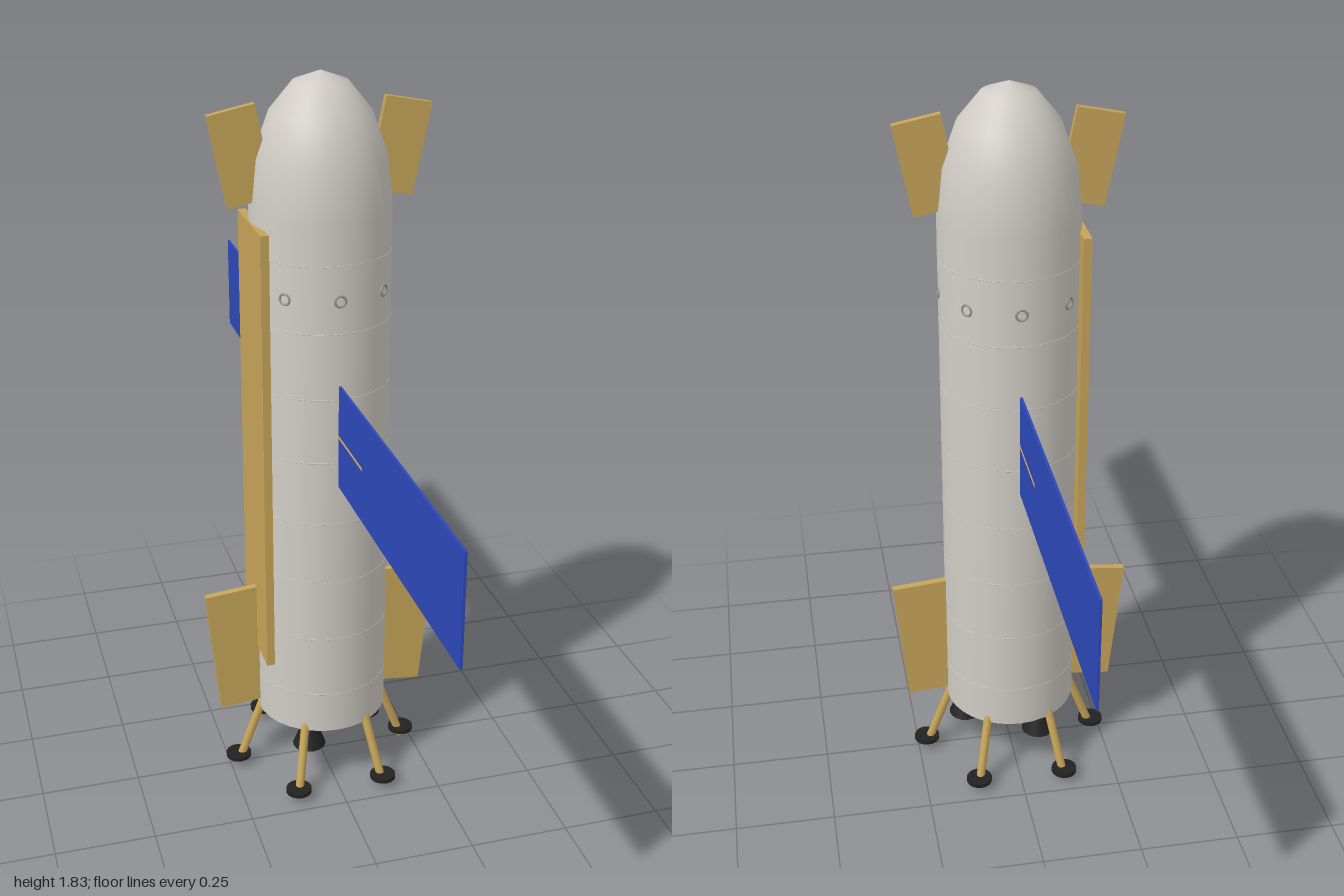
import * as THREE from 'three';
import { toCreasedNormals } from 'three/addons/utils/BufferGeometryUtils.js';

const R = 0.168, BASE = 0.17, SHOULDER = 1.52, TIP = 1.83;

export function createModel() {
  const model = new THREE.Group();
  model.name = 'rocket';

  const material = (name, color) => {
    const m = new THREE.MeshStandardMaterial({ color });
    m.name = name;
    return m;
  };
  const steel = material('hull grey', 0xcfcbc4);
  const gold = material('gold', 0xc6a459);
  const blue = material('solar blue', 0x2d48ba);
  const black = material('engine black', 0x222222);
  const rim = material('window rim grey', 0x9a9893);

  const add = (name, geometry, mat, x = 0, y = 0, z = 0) => {
    const mesh = new THREE.Mesh(geometry, mat);
    mesh.name = name;
    mesh.position.set(x, y, z);
    model.add(mesh);
    return mesh;
  };

  // Hull with flat base and faceted ogive nose
  const profile = [new THREE.Vector2(0, BASE), new THREE.Vector2(R, BASE)];
  for (let i = 0; i <= 4; i++) {
    const a = (i * Math.PI) / 8;
    profile.push(new THREE.Vector2(i === 4 ? 0 : R * Math.cos(a), SHOULDER + (TIP - SHOULDER) * Math.sin(a)));
  }
  add('hull', toCreasedNormals(new THREE.LatheGeometry(profile, 32), 0.55), steel);

  // Weld seams, barely proud of the hull
  for (let i = 0; i < 8; i++) {
    const seam = add('hullSeam', new THREE.TorusGeometry(R - 0.0005, 0.0012, 6, 32), steel, 0, 0.28 + i * 0.163, 0);
    seam.rotation.x = Math.PI / 2;
  }

  // Ring of eight small round windows
  for (let i = 0; i < 8; i++) {
    const a = (i * Math.PI) / 4;
    const window = add('windowRim', new THREE.TorusGeometry(0.013, 0.003, 6, 16), rim, R * Math.sin(a), 1.338, R * Math.cos(a));
    window.rotation.y = a;
  }

  // Tilted fore and aft fins on both sides
  for (const side of [1, -1]) {
    const fore = add('foreFin', new THREE.BoxGeometry(0.113, 0.22, 0.018), gold, side * 0.188, 1.646, 0);
    fore.rotation.z = -side * 0.2;
    const aft = add('aftFin', new THREE.BoxGeometry(0.16, 0.336, 0.018), gold, side * 0.208, 0.359, 0);
    aft.rotation.z = -side * 0.1;
  }

  // Long plate along the right side
  add('sidePlate', new THREE.BoxGeometry(0.02, 1.13, 0.225), gold, -0.162, 0.925, 0);

  // Solar wings and their booms, front and back
  for (const side of [1, -1]) {
    add('solarPanel', new THREE.BoxGeometry(0.006, 0.26, 0.84), blue, 0, 1, side * 0.58);
    const boom = add('panelBoom', new THREE.CylinderGeometry(0.005, 0.005, 0.2, 8), gold, 0, 1, side * 0.255);
    boom.rotation.x = Math.PI / 2;
  }

  // Six splayed landing legs with round foot pads
  const up = new THREE.Vector3(0, 1, 0);
  for (let i = 0; i < 6; i++) {
    const a = (i * Math.PI) / 3, c = Math.cos(a), s = Math.sin(a);
    const top = new THREE.Vector3(0.158 * c, 0.185, 0.158 * s);
    const foot = new THREE.Vector3(0.226 * c, 0.004, 0.226 * s);
    const axis = top.clone().sub(foot);
    const leg = add('landingLeg', new THREE.CylinderGeometry(0.011, 0.011, axis.length(), 10), gold);
    leg.position.copy(top).add(foot).multiplyScalar(0.5);
    leg.quaternion.setFromUnitVectors(up, axis.normalize());
    add('footPad', new THREE.CylinderGeometry(0.033, 0.033, 0.01, 16), black, 0.227 * c, 0.026, 0.227 * s);
  }

  // Three large outer engines and three small inner ones
  for (let i = 0; i < 3; i++) {
    const a = (i * Math.PI * 2) / 3, c = Math.cos(a), s = Math.sin(a);
    add('outerEngine', new THREE.CylinderGeometry(0.01, 0.043, 0.08, 16), black, 0.12 * c, 0.139, 0.12 * s);
    add('innerEngine', new THREE.CylinderGeometry(0.007, 0.026, 0.05, 16), black, 0.056 * c, 0.152, 0.056 * s);
  }

  return model;
}
